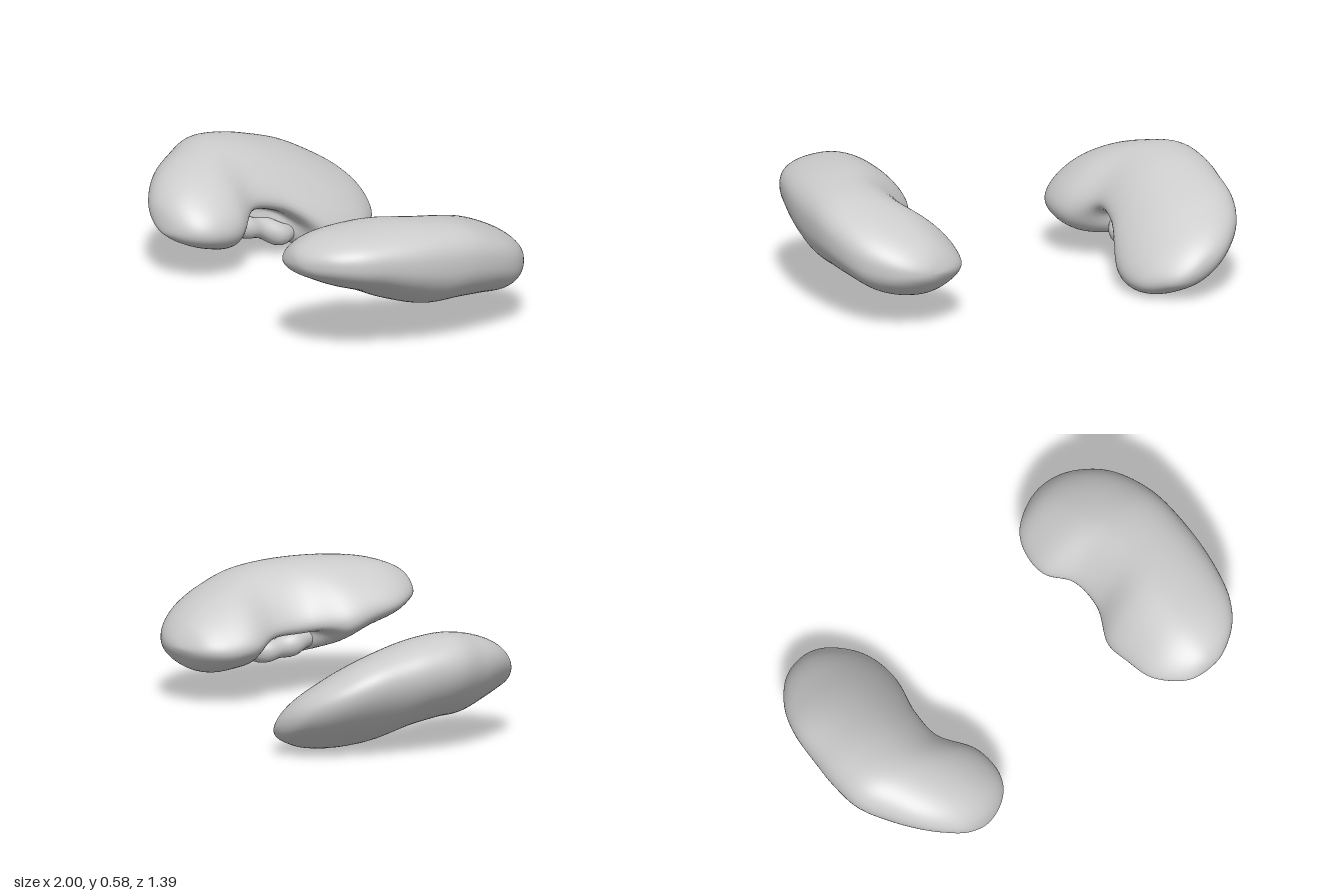
import * as THREE from 'three';
import { mergeVertices } from 'three/addons/utils/BufferGeometryUtils.js';

const grey = new THREE.MeshStandardMaterial({ color: 0xcccccc });

// Cross-section bounds at 15 degree steps of a half circle along z, front to back.
// near / far are distances from the middle plane, low / high are heights, lean tips
// each section. taper and droop (front, back) thin and lower the inner edge, full
// squares the outer edge, duct is the path of the vessel in the hollow.
const leftKidney = {
  side: 1, z: 0.1, half: 0.595, hilum: 0.05, dent: 0.55, full: 0.82,
  taper: [0.15, 0.35], droop: [0.32, 0],
  near: [0.61, 0.50, 0.425, 0.37, 0.358, 0.365, 0.445, 0.46, 0.41, 0.425, 0.48, 0.58, 0.68],
  far: [0.61, 0.70, 0.80, 0.875, 0.925, 0.965, 0.99, 1.0, 0.985, 0.945, 0.87, 0.78, 0.68],
  low: [0.45, 0.40, 0.365, 0.32, 0.275, 0.21, 0.165, 0.16, 0.145, 0.135, 0.165, 0.22, 0.27],
  high: [0.45, 0.50, 0.54, 0.57, 0.585, 0.588, 0.575, 0.55, 0.505, 0.45, 0.39, 0.325, 0.27],
  lean: [0.06, 0.06, 0.06, 0.08, 0.1, 0.14, 0.17, 0.18, 0.16, 0.13, 0.1, 0.1, 0.1],
  duct: [[0.64, 0.29, 0.22], [0.57, 0.25, 0.13], [0.56, 0.23, 0.03], [0.57, 0.22, -0.07], [0.64, 0.24, -0.16]],
};
const rightKidney = {
  side: -1, z: -0.115, half: 0.585, hilum: -0.1, dent: 0.4, full: 1,
  taper: [0.1, 0.15], droop: [0, 0],
  near: [0.60, 0.50, 0.42, 0.38, 0.385, 0.46, 0.445, 0.39, 0.363, 0.38, 0.44, 0.51, 0.60],
  far: [0.60, 0.70, 0.78, 0.86, 0.93, 0.99, 0.99, 0.965, 0.935, 0.88, 0.80, 0.71, 0.60],
  low: [0.25, 0.21, 0.175, 0.14, 0.11, 0.12, 0.09, 0.025, 0, 0.01, 0.045, 0.085, 0.15],
  high: [0.25, 0.34, 0.41, 0.465, 0.505, 0.53, 0.515, 0.475, 0.425, 0.36, 0.295, 0.225, 0.15],
  lean: [0.45, 0.45, 0.45, 0.43, 0.38, 0.34, 0.38, 0.5, 0.6, 0.64, 0.64, 0.64, 0.64],
  duct: [[-0.66, 0.2, 0.08], [-0.59, 0.17, 0.02], [-0.57, 0.14, -0.08], [-0.54, 0.1, -0.19], [-0.6, 0.12, -0.29]],
};

// Smooth reading of a list; past the poles it continues on the opposite list.
function sample(list, opposite, t) {
  const last = list.length - 1;
  const i = Math.min(Math.floor(t), last - 1);
  const f = t - i;
  const at = (k) => (k < 0 ? opposite[-k] : k > last ? opposite[2 * last - k] : list[k]);
  const [a, b, c, d] = [at(i - 1), at(i), at(i + 1), at(i + 2)];
  return b + 0.5 * f * (c - a + f * (2 * a - 5 * b + 4 * c - d + f * (3 * (b - c) + d - a)));
}

// Joins coincident corners and gives smooth normals.
function smooth(geometry) {
  geometry.deleteAttribute('uv');
  geometry.deleteAttribute('normal');
  const merged = mergeVertices(geometry, 1e-5);
  merged.computeVertexNormals();
  return merged;
}

// Bean-shaped body: leaning oval sections, thinner at the inner edge, with a hollow there.
function bodyGeometry(k) {
  const rings = 96, sides = 64;
  const positions = [], index = [];
  for (let r = 0; r <= rings; r++) {
    const t = (12 * r) / rings;
    const z = k.z + k.half * Math.cos((Math.PI * r) / rings);
    const near = sample(k.near, k.far, t), far = sample(k.far, k.near, t);
    const low = sample(k.low, k.high, t), high = sample(k.high, k.low, t);
    const lean = sample(k.lean, k.lean, t);
    const taper = THREE.MathUtils.lerp(...k.taper, r / rings);
    const droop = THREE.MathUtils.lerp(...k.droop, r / rings);
    const along = Math.exp(-Math.pow((z - k.hilum) / 0.16, 4));
    for (let j = 0; j < sides; j++) {
      const angle = (2 * Math.PI * j) / sides;
      const u = Math.cos(angle), s = Math.sin(angle);
      const inner = Math.min(u, 0) ** 2;
      const v = u > 0 ? Math.sign(s) * Math.abs(s) ** k.full : s * (1 - taper * inner);
      const off = (angle - Math.PI - k.dent) / 0.42;
      const size = 0.5 * (1 - 0.42 * along * Math.exp(-off * off));
      positions.push(
        k.side * ((near + far) / 2 + (far - near) * size * u),
        (low + high) / 2 + (high - low) * size * (v * Math.cos(lean) + u * Math.sin(lean) - droop * inner),
        z,
      );
      if (r < rings) {
        const a = r * sides + j, b = a + sides;
        const c = r * sides + ((j + 1) % sides), d = c + sides;
        if (k.side > 0) index.push(a, b, c, c, b, d);
        else index.push(a, c, b, c, d, b);
      }
    }
  }
  const geometry = new THREE.BufferGeometry();
  geometry.setAttribute('position', new THREE.Float32BufferAttribute(positions, 3));
  geometry.setIndex(index);
  return smooth(geometry);
}

// Uneven vessel lying in the hollow, its ends sunk in the body.
function ductGeometry(path) {
  const curve = new THREE.CatmullRomCurve3(path.map((p) => new THREE.Vector3(...p)));
  const geometry = new THREE.TubeGeometry(curve, 40, 0.05, 20);
  const position = geometry.attributes.position, normal = geometry.attributes.normal;
  const point = new THREE.Vector3(), out = new THREE.Vector3();
  for (let i = 0; i < position.count; i++) {
    point.fromBufferAttribute(position, i);
    out.fromBufferAttribute(normal, i);
    point.addScaledVector(out, 0.005 * Math.sin(45 * point.z + 20 * point.x));
    position.setXYZ(i, point.x, point.y, point.z);
  }
  return smooth(geometry);
}

function kidney(name, k) {
  const group = new THREE.Group();
  group.name = name;
  const body = new THREE.Mesh(bodyGeometry(k), grey);
  body.name = 'kidneyBody';
  const duct = new THREE.Mesh(ductGeometry(k.duct), grey);
  duct.name = 'hilumDuct';
  group.add(body, duct);
  return group;
}

export function createModel() {
  const model = new THREE.Group();
  model.name = 'kidneys';
  model.add(kidney('leftKidney', leftKidney), kidney('rightKidney', rightKidney));
  return model;
}
